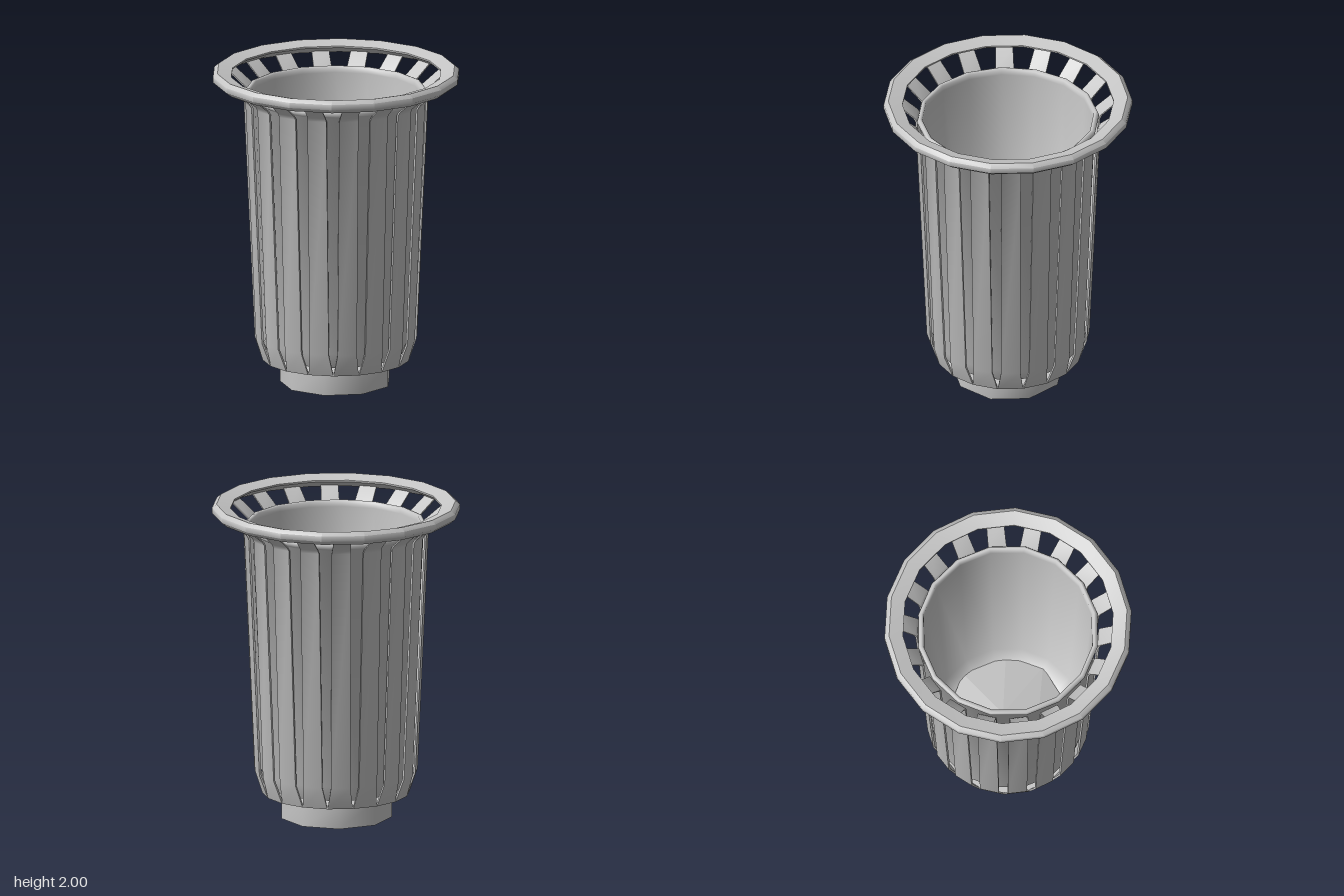
import * as THREE from 'three';
import { toCreasedNormals } from 'three/addons/utils/BufferGeometryUtils.js';

const gray = new THREE.MeshStandardMaterial({ color: 0xc6c6c6 });
gray.name = 'light steel gray';

// Turned part from [radius, y] points, listed counter-clockwise (outside going up)
function turned(name, points, sides, crease = 0.75) {
  const lathe = new THREE.LatheGeometry(points.map(([r, y]) => new THREE.Vector2(r, y)), sides);
  const mesh = new THREE.Mesh(toCreasedNormals(lathe, crease), gray);
  mesh.name = name;
  return mesh;
}

// Bent strip swept through [radius, y, half width] stations, facing +z
function slatGeometry(stations, thickness) {
  const pos = [], index = [];
  stations.forEach(([r, y, w]) => {
    pos.push(-w, y, r, w, y, r, w, y, r - thickness, -w, y, r - thickness);
  });
  for (let s = 0; s < stations.length - 1; s++) {
    for (let k = 0; k < 4; k++) {
      const a = s * 4 + k, b = s * 4 + (k + 1) % 4;
      index.push(a, b, b + 4, a, b + 4, a + 4);
    }
  }
  const e = (stations.length - 1) * 4;
  index.push(0, 2, 1, 0, 3, 2, e, e + 1, e + 2, e, e + 2, e + 3);
  const g = new THREE.BufferGeometry();
  g.setAttribute('position', new THREE.Float32BufferAttribute(pos, 3));
  g.setIndex(index);
  return toCreasedNormals(g, 0.5);
}

// Faceted mound: a fan round the main peak, with a second peak towards the front
function moundGeometry() {
  const peak = [-0.01, 0.34, -0.03], knoll = [0.08, 0.315, 0.17];
  const rim = [[0.41, -0.01], [0.25, 0.32], [0.02, 0.4], [-0.13, 0.36], [-0.34, 0.22], [-0.39, -0.07],
    [-0.22, -0.33], [0.1, -0.4], [0.34, -0.24]].map(([x, z]) => [x, 0.245, z]);
  const verts = [peak, knoll, rim[0], peak, rim[3], knoll];
  rim.forEach((p, i) => verts.push(i < 3 ? knoll : peak, rim[(i + 1) % rim.length], p));
  const g = new THREE.BufferGeometry();
  g.setAttribute('position', new THREE.Float32BufferAttribute(verts.flat(), 3));
  g.computeVertexNormals();
  return g;
}

export function createModel() {
  const model = new THREE.Group();
  model.name = 'slatted litter bin';

  // Nine-sided foot with a corner on +x
  const foot = new THREE.Mesh(
    toCreasedNormals(new THREE.CylinderGeometry(0.348, 0.348, 0.15, 9), 0.75), gray);
  foot.name = 'foot';
  foot.rotation.y = Math.PI / 2;
  foot.position.y = 0.075;
  model.add(foot);

  // Base plate with a bevelled underside
  model.add(turned('basePlate', [[0, 0.135], [0.37, 0.135], [0.458, 0.155], [0.458, 0.17], [0, 0.17]], 18, 0.4));

  // Hollow inner bin with a rounded bottom and a rolled lip
  model.add(turned('innerBin', [
    [0, 0.2], [0.425, 0.2], [0.472, 0.3], [0.544, 1.83], [0.558, 1.84], [0.566, 1.858],
    [0.558, 1.876], [0.545, 1.88], [0.533, 1.872], [0.529, 1.84], [0.455, 0.3], [0.37, 0.22], [0, 0.22],
  ], 16, 1));

  // Low faceted mound on the bin floor
  const mound = new THREE.Mesh(moundGeometry(), gray);
  mound.name = 'floorMound';
  model.add(mound);

  // Ring of slats, tapered to meet at the foot and flared at the top
  const slats = new THREE.Group();
  slats.name = 'slats';
  const slatGeo = slatGeometry([
    [0.452, 0.155, 0.078], [0.502, 0.3, 0.06], [0.57, 1.815, 0.06], [0.584, 1.84, 0.057], [0.712, 1.942, 0.054],
  ], 0.012);
  for (let i = 0; i < 18; i++) {
    const slat = new THREE.Mesh(slatGeo, gray);
    slat.name = 'slat';
    slat.rotation.y = (i + 0.5) * Math.PI / 9;
    slats.add(slat);
  }
  model.add(slats);

  // Bevelled top ring, dished inwards to a thin inner edge
  model.add(turned('topRing', [
    [0.655, 1.965], [0.7, 1.935], [0.735, 1.917], [0.77, 1.945], [0.77, 1.978], [0.742, 2],
    [0.655, 1.975], [0.655, 1.965],
  ], 18, 0.9));

  return model;
}
